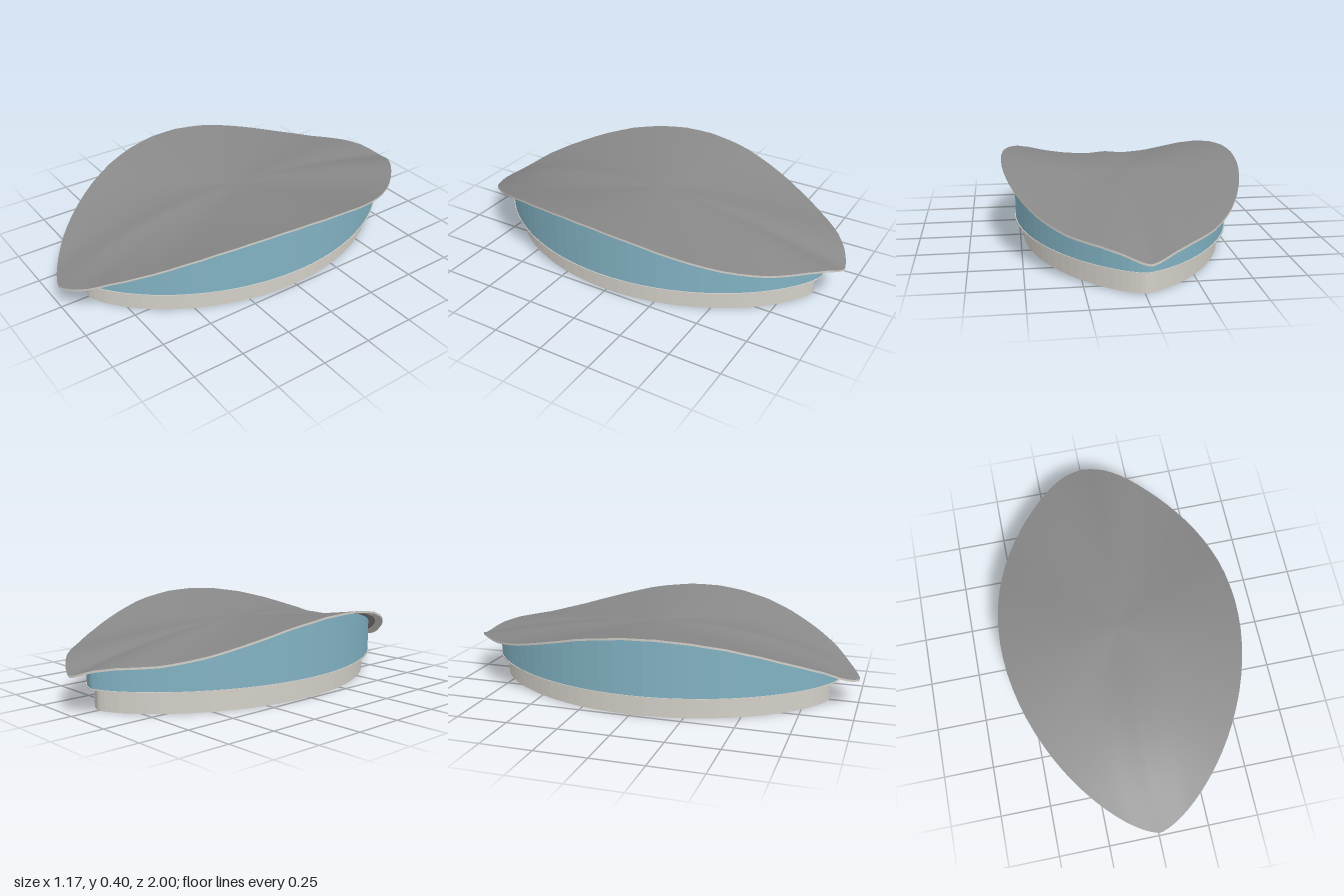
import * as THREE from 'three';

const SEGMENTS = 80;
const THICKNESS = 0.01;

// Height of the roof edge, as [z, y] from back tip to front tip
const EDGE = [
  [-1, 0.183], [-0.96, 0.215], [-0.9, 0.232], [-0.75, 0.243], [-0.6, 0.273], [-0.4, 0.325],
  [-0.2, 0.374], [0, 0.398], [0.15, 0.401], [0.3, 0.389], [0.45, 0.363], [0.6, 0.32],
  [0.75, 0.262], [0.86, 0.21], [0.94, 0.155], [0.97, 0.138], [1, 0.122],
];
const CENTRE_Y = 0.335;

function edgeHeight(z) {
  for (let i = 1; i < EDGE.length; i++) {
    const [z0, y0] = EDGE[i - 1], [z1, y1] = EDGE[i];
    if (z <= z1) return THREE.MathUtils.lerp(y0, y1, (z - z0) / (z1 - z0));
  }
  return EDGE[EDGE.length - 1][1];
}

// Roof height at fraction r of the way from the centre to the edge point at z;
// the front tip droops most suddenly
function roofHeight(z, r) {
  const power = 1.4 + (z > 0 ? 1.3 : 0.25) * z ** 4;
  return CENTRE_Y + (edgeHeight(z) - CENTRE_Y) * Math.pow(r, power);
}

// Leaf-shaped loop: half width a, half length b, height(z / b)
function leafLoop(a, b, height) {
  const loop = [];
  for (let i = 0; i < SEGMENTS; i++) {
    const t = (i / SEGMENTS) * Math.PI * 2;
    const s = Math.sin(t), z = Math.cos(t);
    loop.push(new THREE.Vector3(Math.sign(s) * a * Math.pow(Math.abs(s), 1.4), height(z), b * z));
  }
  return loop;
}

// Skin a series of closed loops; faceted gives each panel its own normal
function skin(loops, faceted) {
  const index = [];
  for (let j = 0; j < loops.length - 1; j++) {
    for (let i = 0; i < SEGMENTS; i++) {
      const k = (i + 1) % SEGMENTS;
      const a = j * SEGMENTS + i, b = j * SEGMENTS + k;
      index.push(a, b, b + SEGMENTS, a, b + SEGMENTS, a + SEGMENTS);
    }
  }
  let geometry = new THREE.BufferGeometry().setFromPoints(loops.flat());
  geometry.setIndex(index);
  if (faceted) geometry = geometry.toNonIndexed();
  geometry.computeVertexNormals();
  return geometry;
}

function makeMaterial(name, color) {
  const material = new THREE.MeshStandardMaterial({ color, side: THREE.DoubleSide });
  material.name = name;
  return material;
}

export function createModel() {
  const model = new THREE.Group();
  model.name = 'leafRoofPavilion';
  const stone = makeMaterial('warm stone', 0xd3cfc8);
  const glass = makeMaterial('pale blue glass', 0x82b2c3);
  const slate = makeMaterial('roof grey', 0x888888);

  const add = (name, geometry, material) => {
    const mesh = new THREE.Mesh(geometry, material);
    mesh.name = name;
    model.add(mesh);
  };
  const flat = (a, b, y) => leafLoop(a, b, () => y);
  const roofLoop = (r, drop = 0) => leafLoop(0.585 * r, r, (z) => roofHeight(z, r) - drop);

  // Open plinth with the thin ledge that carries the glass
  add('plinth', skin([flat(0.485, 0.86, 0), flat(0.485, 0.86, 0.102)], true), stone);
  add('ledge', skin([
    flat(0.485, 0.86, 0.102), flat(0.525, 0.9, 0.102), flat(0.525, 0.9, 0.108), flat(0.521, 0.896, 0.108),
  ], true), stone);

  // Glass wall rising to the underside of the roof
  const wallTop = leafLoop(0.521, 0.896, (z) => roofHeight(z, 0.893) - THICKNESS);
  add('glassWall', skin([flat(0.521, 0.896, 0.102), wallTop], true), glass);

  // Dished roof and its ceiling, from the centre out
  const rings = [0.001];
  for (let i = 1; i <= 16; i++) rings.push(i / 16);
  add('roof', skin(rings.map((r) => roofLoop(r)), false), slate);
  const ceilingRings = [...rings.slice(0, -1), 0.945];
  add('ceiling', skin(ceilingRings.map((r) => roofLoop(r, THICKNESS)), false), slate);

  // Thin trim around and under the roof edge
  add('roofTrim', skin([roofLoop(1), roofLoop(1, THICKNESS), roofLoop(0.945, THICKNESS)], true), stone);

  return model;
}
